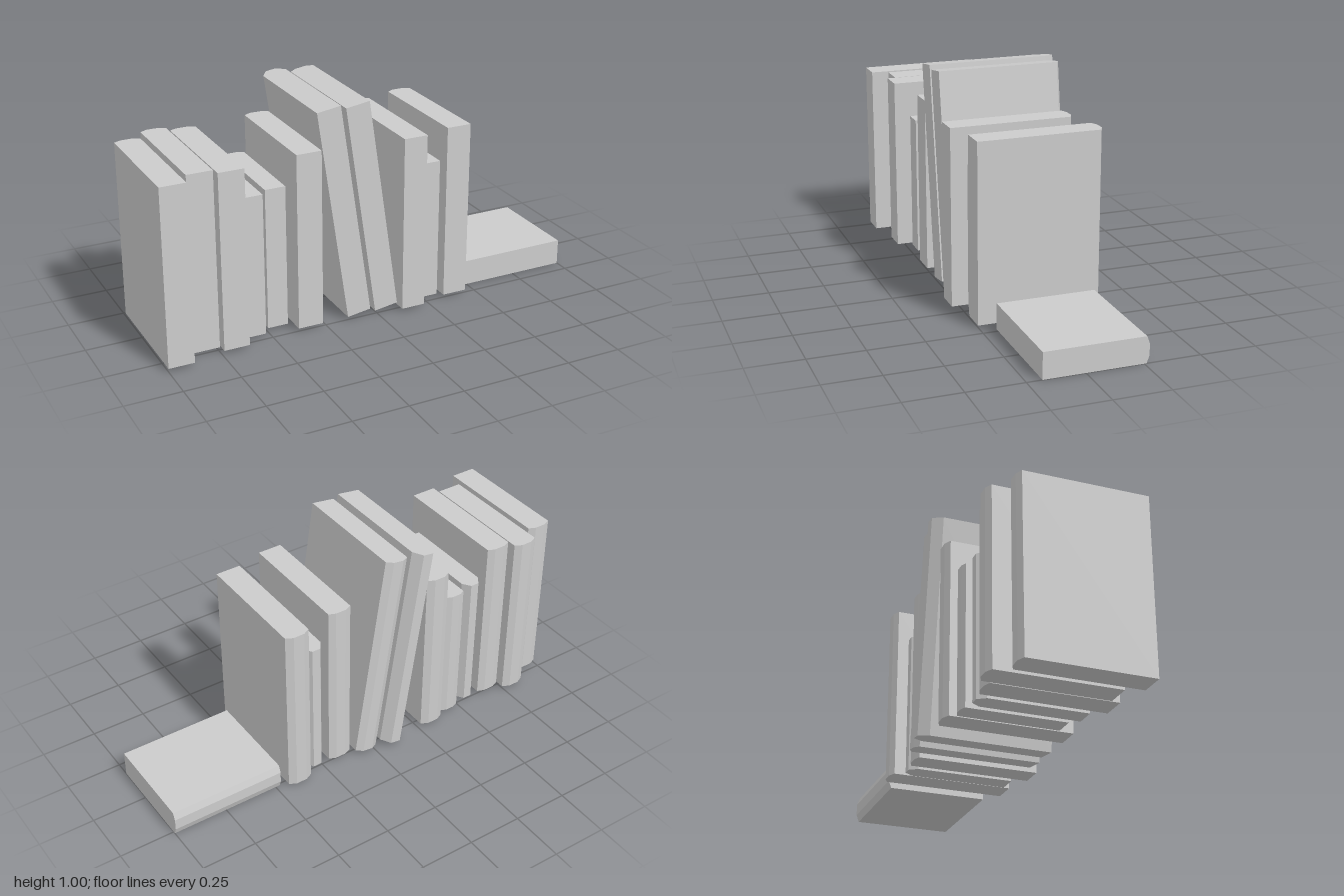
import * as THREE from 'three';

const material = new THREE.MeshStandardMaterial({ color: 0xcccccc, flatShading: true });

// Book outline seen from above, extruded upwards and centred in x and y.
// The pages face +z; the spine is a three-sided bulge towards -z.
function makeBook(name, { x, y, thickness, height, front, back, spine, tilt = 0 }) {
  const h = thickness / 2;
  const flat = thickness * 0.22;
  const shape = new THREE.Shape([
    [-h, -front], [h, -front], [h, -back],
    [flat, -spine], [-flat, -spine], [-h, -back],
  ].map(([px, py]) => new THREE.Vector2(px, py)));
  const geometry = new THREE.ExtrudeGeometry(shape, { depth: height, bevelEnabled: false });
  geometry.rotateX(-Math.PI / 2);
  geometry.translate(0, -height / 2, 0);
  const book = new THREE.Mesh(geometry, material);
  book.name = name;
  book.position.set(x, y, 0);
  book.rotation.z = tilt;
  return book;
}

export function createModel() {
  const group = new THREE.Group();
  group.name = 'bookRow';

  // Upright books: left edge, right edge, bottom, top, front z, back z, spine z
  const upright = [
    [-1.0, -0.885, 0.015, 0.815, 0.33, -0.218, -0.232],
    [-0.86, -0.745, 0.015, 0.815, 0.255, -0.29, -0.306],
    [-0.74, -0.625, 0.015, 0.815, 0.293, -0.252, -0.265],
    [-0.61, -0.52, 0.01, 0.655, 0.223, -0.215, -0.252],
    [-0.493, -0.4, 0.01, 0.655, 0.183, -0.262, -0.273],
    [-0.38, -0.265, 0.015, 0.815, 0.255, -0.29, -0.306],
    [0.105, 0.215, 0.015, 0.815, 0.293, -0.252, -0.265],
    [0.23, 0.32, 0.01, 0.655, 0.223, -0.215, -0.252],
    [0.336, 0.45, 0.015, 0.815, 0.255, -0.29, -0.306],
  ];
  upright.forEach(([x0, x1, y0, y1, front, back, spine], i) => {
    group.add(makeBook(`uprightBook${i + 1}`, {
      x: (x0 + x1) / 2, y: (y0 + y1) / 2,
      thickness: x1 - x0, height: y1 - y0, front, back, spine,
    }));
  });

  // Two tall books leaning to the right-hand side
  const leaning = { y: 0.507, thickness: 0.11, height: 0.975, front: 0.257, back: -0.29, tilt: 0.145 };
  group.add(makeBook('leaningBook1', { ...leaning, x: -0.161, spine: -0.334 }));
  group.add(makeBook('leaningBook2', { ...leaning, x: -0.028, spine: -0.308 }));

  // Book lying flat at the end of the row
  group.add(makeBook('lyingBook', {
    x: 0.74, y: 0.0585, thickness: 0.117, height: 0.52,
    front: 0.183, back: -0.26, spine: -0.272, tilt: Math.PI / 2,
  }));

  return group;
}
